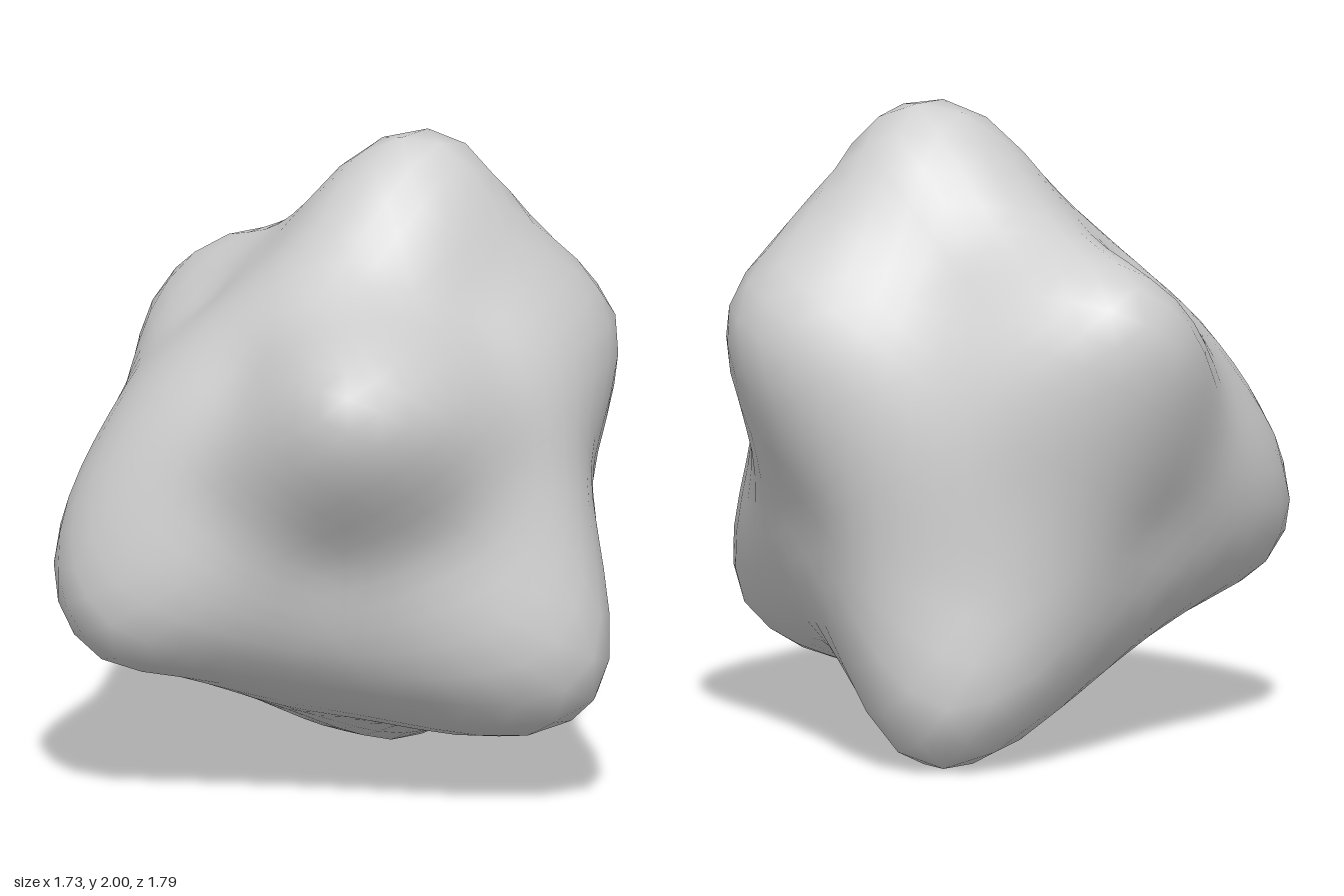
import * as THREE from 'three';
import { mergeVertices } from 'three/addons/utils/BufferGeometryUtils.js';

const CENTRE = new THREE.Vector3(0, 1, 0);
const BASE = 1.15; // average inverse radius of the boulder
const SOFTNESS = 0.17; // rounding of each lump's tip

// Surface points that the boulder passes through
const LUMPS = [
  [0.07, 1.96, -0.1], [0.35, 2.0, -0.16], [0.2, 1.97, -0.28], // crown
  [0.05, 1.43, 0.84], [0.06, 1.17, 0.87], [0.34, 1.3, 0.78], // front knob
  [-0.86, 0.65, 0.2], [-0.82, 0.9, 0.19], [-0.69, 0.47, 0.44], // right-hand knob
  [0.85, 1.38, -0.36], [0.72, 1.35, -0.59], // upper left knob
  [0.85, 0.66, 0.17], [0.83, 0.4, 0.45], [0.5, 0.45, 0.58], [0.62, 0.21, 0.3], // lower left knob
  [0.2, 0.0, -0.6], [0.05, 0.02, -0.62], [0.06, 0.16, -0.87], [0.29, 0.17, -0.84], // foot
  [-0.45, 1.53, -0.7], [-0.45, 1.37, -0.79], [-0.61, 1.37, -0.59], // back knob
];
const HOLLOWS = [
  [0.15, 1.62, 0.3], [0.44, 1.53, 0.17], [0.62, 1.07, 0.4], [0.02, 0.8, 0.64],
  [0.35, 0.85, 0.62], [-0.27, 1.37, 0.39], [-0.41, 1.47, -0.2], [0.22, 1.57, -0.54],
  [0.6, 1.72, -0.27], [-0.08, 0.9, -0.83], [0.58, 0.7, -0.5], [0.79, 0.95, -0.08],
  [-0.49, 0.71, -0.48], [0.1, 0.21, 0.12], [-0.3, 0.28, 0.05], [0.42, 0.22, -0.2],
  [-0.36, 0.95, 0.56], [-0.12, 1.72, -0.38], [-0.7, 1.08, -0.2], [0.25, 1.25, -0.74],
  [-0.17, 1.7, -0.08], [-0.5, 0.38, 0.25], [0.12, 0.47, -0.86],
];

const blend = (a, b) => Math.exp(SOFTNESS - Math.sqrt(a.distanceToSquared(b) + SOFTNESS ** 2));

// Finds the strength of each lump so that the blended surface meets every point.
// Blending the inverse radius keeps the stretches between lumps nearly flat.
function fitLumps() {
  const pts = [...LUMPS, ...HOLLOWS].map(([x, y, z]) => {
    const dir = new THREE.Vector3(x, y, z).sub(CENTRE);
    const inverse = 1 / dir.length();
    return { dir: dir.normalize(), inverse, strength: 0 };
  });
  const weights = pts.map((p) => pts.map((q) => blend(p.dir, q.dir)));
  for (let pass = 0; pass < 5000; pass++) {
    pts.forEach((p, i) => {
      let sum = 0;
      pts.forEach((q, j) => { if (j !== i) sum += q.strength * weights[i][j]; });
      p.strength = (p.inverse - BASE - sum) / 1.004;
    });
  }
  return pts;
}

export function createModel() {
  const group = new THREE.Group();
  group.name = 'boulder';
  const stone = new THREE.MeshStandardMaterial({ color: 0xcfcfcf });
  stone.name = 'stone grey';

  // Smooth sphere pushed in and out by the lumps
  let geometry = new THREE.IcosahedronGeometry(1, 9);
  geometry.deleteAttribute('normal');
  geometry.deleteAttribute('uv');
  geometry = mergeVertices(geometry, 1e-4);
  const lumps = fitLumps();
  const pos = geometry.attributes.position;
  const v = new THREE.Vector3();
  for (let i = 0; i < pos.count; i++) {
    v.fromBufferAttribute(pos, i).normalize();
    let inverse = BASE;
    for (const l of lumps) inverse += l.strength * blend(v, l.dir);
    v.divideScalar(inverse).add(CENTRE);
    pos.setXYZ(i, v.x, v.y, v.z);
  }
  geometry.computeVertexNormals();

  const rock = new THREE.Mesh(geometry, stone);
  rock.name = 'rock';
  group.add(rock);
  return group;
}
